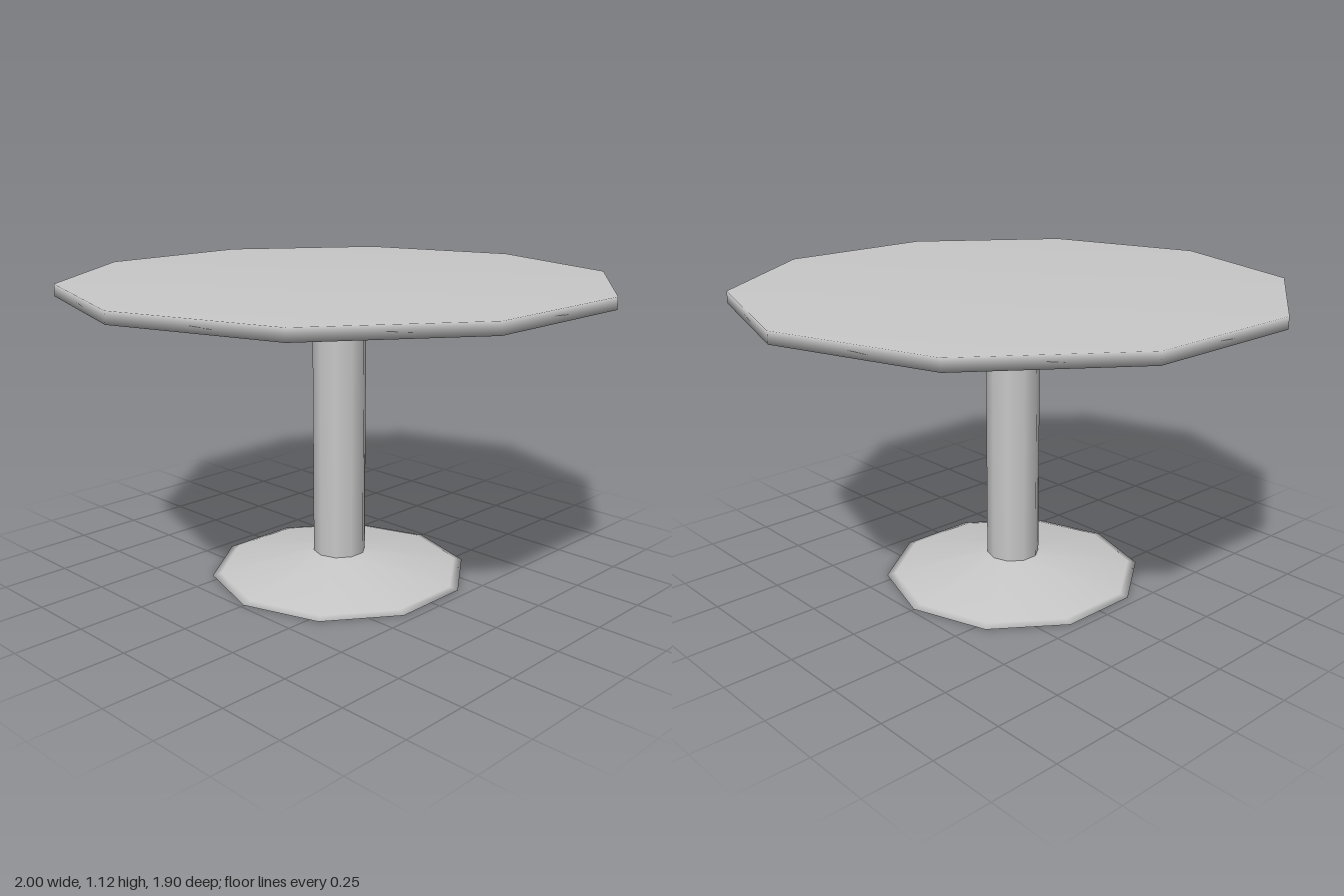
import * as THREE from 'three';

const SIDES = 10;

export function createModel() {
  const group = new THREE.Group();
  group.name = 'pedestalTable';
  const grey = new THREE.MeshStandardMaterial({ color: 0xc8c8c8 });
  grey.name = 'plain grey';

  // Ten-sided turned part with a corner on the x axis and smooth normals
  const turned = (name, profile) => {
    const points = profile.map(([r, y]) => new THREE.Vector2(r, y));
    const mesh = new THREE.Mesh(new THREE.LatheGeometry(points, SIDES, Math.PI / 2), grey);
    mesh.name = name;
    group.add(mesh);
  };

  // Foot: shallow cone with a soft thin rim
  turned('base', [[0, 0], [0.455, 0], [0.487, 0.001], [0.455, 0.009], [0.099, 0.08], [0, 0.08]]);

  // Straight column between foot and top
  turned('column', [[0.099, 0.07], [0.099, 1.085]]);

  // Table top, with a short stub hidden inside the column
  turned('tableTop', [[0.097, 1.04], [0.097, 1.08], [1, 1.08], [1, 1.123], [0, 1.123]]);

  return group;
}
